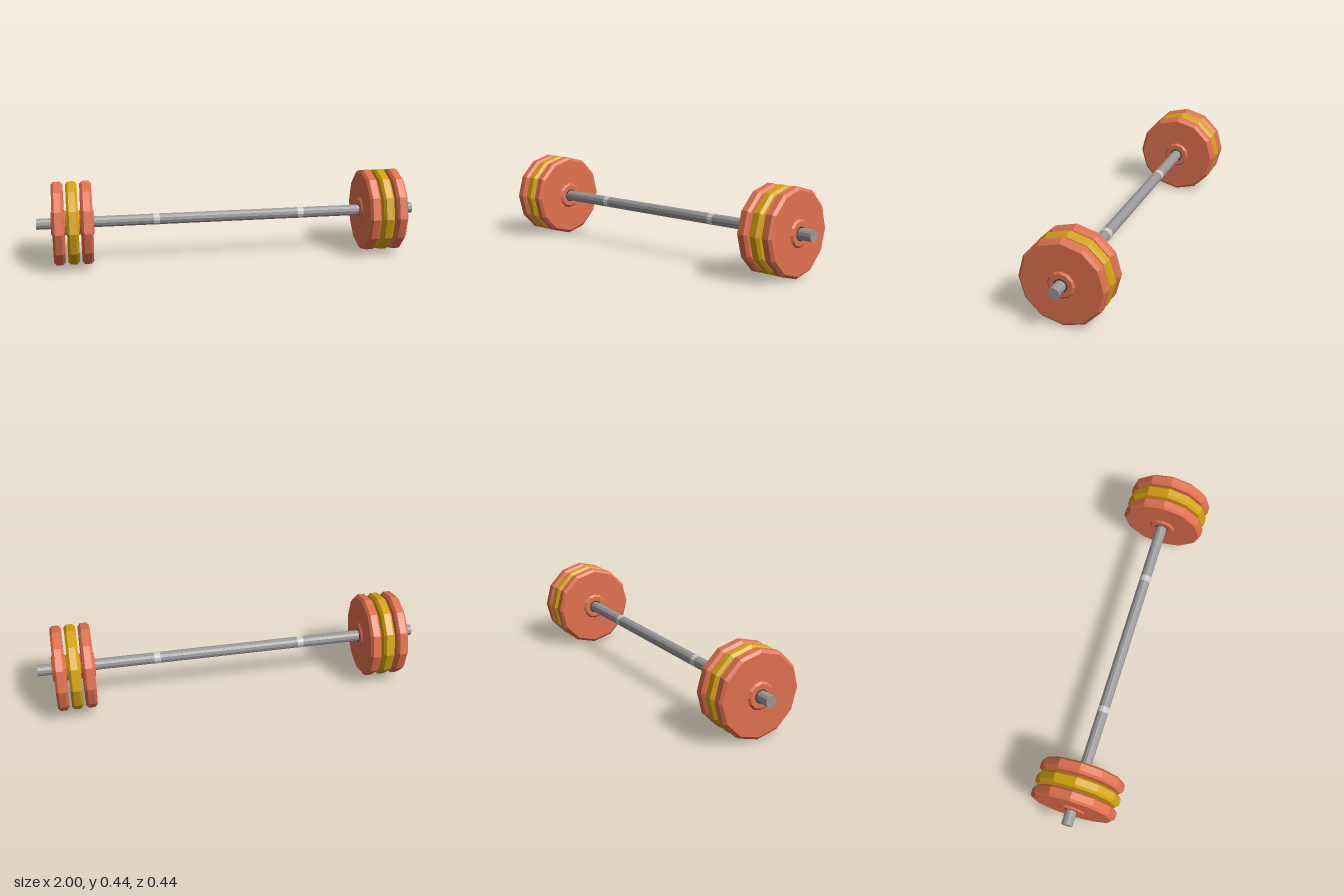
import * as THREE from 'three';

const SIDES = 12;
const AXIS_Y = 0.22;

function material(color) {
  return new THREE.MeshStandardMaterial({ color, flatShading: true });
}

// Low-poly solid turned around the x axis; profile is [radius, x] pairs
function turned(name, profile, mat, x = 0) {
  const points = profile.map(([r, h]) => new THREE.Vector2(r, h));
  const geometry = new THREE.LatheGeometry(points, SIDES).rotateZ(-Math.PI / 2);
  const mesh = new THREE.Mesh(geometry, mat);
  mesh.name = name;
  mesh.position.x = x;
  return mesh;
}

export function createModel() {
  const group = new THREE.Group();
  group.name = 'barbell';

  const steel = material(0x999999);
  const band = material(0xcccccc);
  const dark = material(0x333333);
  const orange = material(0xe2714f);
  const yellow = material(0xd6a410);

  // Bar
  group.add(turned('bar', [[0, -1], [0.029, -1], [0.029, 1], [0, 1]], steel));

  // Chamfered plate with a raised hub on both faces
  const half = [[0.035, 0.038], [0.06, 0.038], [0.07, 0.029], [0.206, 0.029], [0.22, 0.017]];
  const plateProfile = [
    ...half.map(([r, h]) => [r, -h]),
    ...half.slice().reverse(),
    [0.035, -0.038],
  ];

  for (const side of [1, -1]) {
    const label = side > 0 ? 'left' : 'right';

    // Weight stack
    const plates = [
      ['InnerPlate', 0.744, orange],
      ['MiddlePlate', 0.816, yellow],
      ['OuterPlate', 0.888, orange],
    ];
    for (const [name, x, mat] of plates) {
      group.add(turned(label + name, plateProfile, mat, side * x));
    }

    // Dark sleeve lining the plate holes
    group.add(turned(label + 'Sleeve',
      [[0.028, -0.11], [0.0355, -0.11], [0.0355, 0.11], [0.028, 0.11]], dark, side * 0.816));

    // Light grip mark
    group.add(turned(label + 'GripMark',
      [[0.029, -0.016], [0.0296, -0.016], [0.0296, 0.016], [0.029, 0.016]], band, side * 0.383));
  }

  group.children.forEach((mesh) => { mesh.position.y = AXIS_Y; });
  return group;
}
